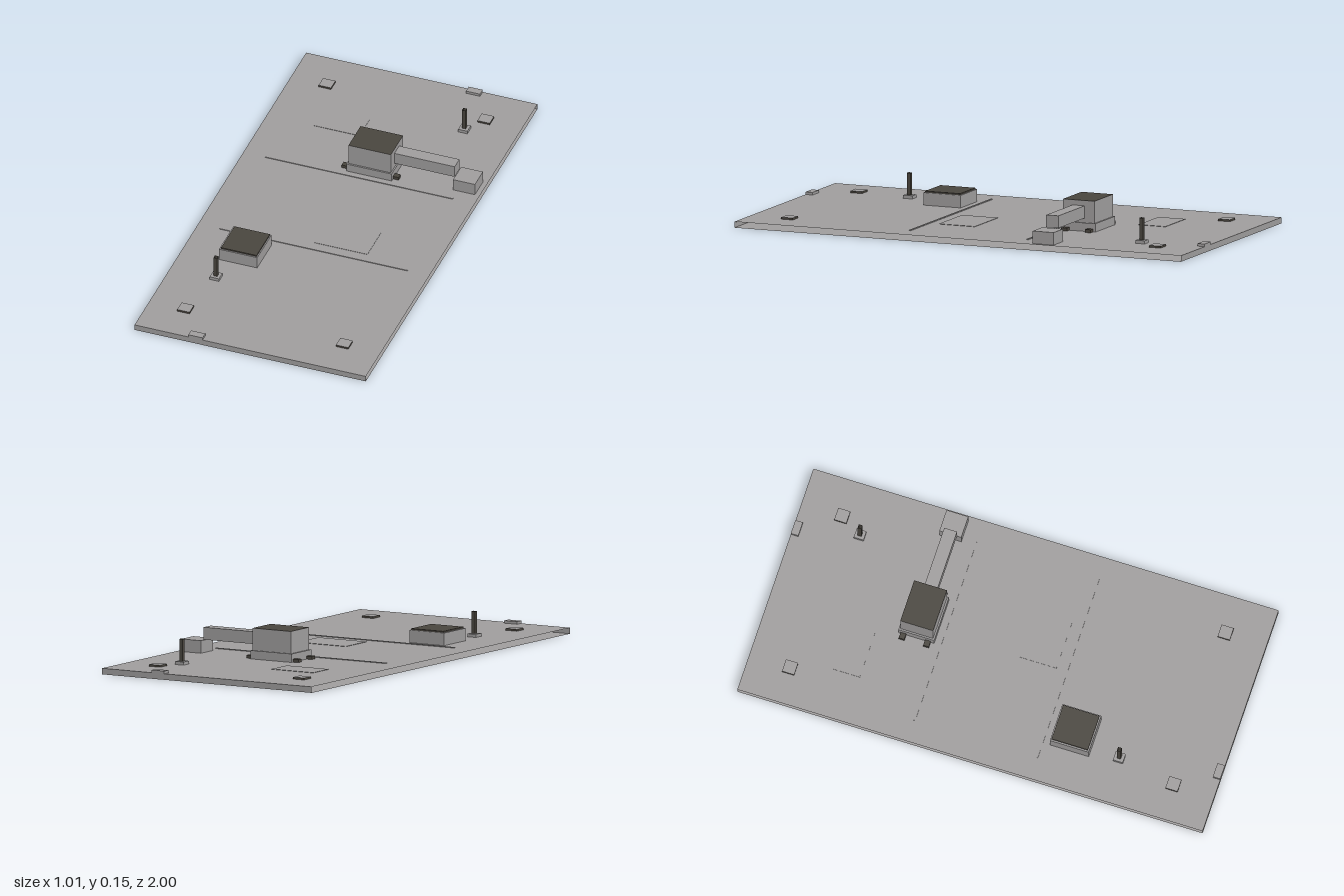
import * as THREE from 'three';

const grey = new THREE.MeshStandardMaterial({ color: 0xa09e9e, side: THREE.DoubleSide });
grey.name = 'concrete grey';
const dark = new THREE.MeshStandardMaterial({ color: 0x4a463f, side: THREE.DoubleSide });
dark.name = 'dark brown grey';

// box face order: +x, -x, +y, -y, +z, -z
const darkTop = [grey, grey, dark, grey, grey, grey];
const darkSides = [dark, dark, grey, grey, dark, dark];

const FLOOR = 0.025; // top of the base slab

export function createModel() {
  const root = new THREE.Group();
  root.name = 'model';

  // box given by its limits on each axis
  function box(name, [x0, x1], [y0, y1], [z0, z1], material = grey, parent = root) {
    const mesh = new THREE.Mesh(new THREE.BoxGeometry(x1 - x0, y1 - y0, z1 - z0), material);
    mesh.position.set((x0 + x1) / 2, (y0 + y1) / 2, (z0 + z1) / 2);
    mesh.name = name;
    parent.add(mesh);
    return mesh;
  }

  // base slab: a flat sleeve with its two long sides open
  const slab = new THREE.Group();
  slab.name = 'baseSlab';
  root.add(slab);
  function panel(name, height, y, z, rotX) {
    const mesh = new THREE.Mesh(new THREE.PlaneGeometry(1.01, height), grey);
    mesh.position.set(0, y, z);
    mesh.rotation.x = rotX;
    mesh.name = name;
    slab.add(mesh);
  }
  panel('slabTop', 2, FLOOR, 0, -Math.PI / 2);
  panel('slabBottom', 2, 0, 0, Math.PI / 2);
  panel('slabFront', FLOOR, FLOOR / 2, 1, 0);
  panel('slabBack', FLOOR, FLOOR / 2, -1, Math.PI);

  // low ridges across the slab
  for (const z of [-0.27, 0.257]) box('ridge', [-0.41, 0.41], [FLOOR, 0.028], [z - 0.004, z + 0.004]);

  // thin floor plates
  box('floorPlate', [-0.015, 0.217], [FLOOR, 0.0265], [0.052, 0.213]);
  box('floorPlate', [-0.3, -0.1], [FLOOR, 0.0265], [-0.66, -0.54]);

  // corner pads
  for (const x of [-0.348, 0.345])
    for (const z of [-0.824, 0.824])
      box('cornerPad', [x - 0.027, x + 0.027], [FLOOR, 0.033], [z - 0.026, z + 0.026], darkSides);

  // edge tabs at the front and the back
  box('frontTab', [-0.27, -0.208], [FLOOR, 0.036], [0.968, 1]);
  box('backTab', [0.205, 0.266], [FLOOR, 0.036], [-1, -0.968]);

  // posts: an open square tube on a small footing
  for (const [x, z] of [[-0.307, 0.578], [0.288, -0.729]]) {
    const post = new THREE.Group();
    post.name = 'post';
    root.add(post);
    box('postFooting', [x - 0.02, x + 0.02], [FLOOR, 0.038], [z - 0.021, z + 0.021], grey, post);
    const tube = new THREE.CylinderGeometry(0.0113, 0.0113, 0.092, 4, 1, true).rotateY(Math.PI / 4).toNonIndexed();
    tube.computeVertexNormals();
    const shaft = new THREE.Mesh(tube, dark);
    shaft.position.set(x, 0.084, z);
    shaft.name = 'postShaft';
    post.add(shaft);
  }

  // small building with a dark roof plate
  box('smallBuilding', [-0.34, -0.173], [FLOOR, 0.077], [0.29, 0.457]);
  box('smallBuildingRoof', [-0.333, -0.178], [0.077, 0.083], [0.295, 0.451], dark);

  // main building: plinth, body with dark roof, feet
  box('mainPlinth', [-0.066, 0.132], [FLOOR, 0.06], [-0.45, -0.296]);
  box('mainBody', [-0.059, 0.126], [0.06, 0.152], [-0.444, -0.303], darkTop);
  for (const x of [-0.079, 0.144])
    for (const z of [-0.428, -0.323])
      box('foot', [x - 0.013, x + 0.013], [FLOOR, 0.038], [z - 0.012, z + 0.012], dark);

  // raised duct and its end block
  box('duct', [0.126, 0.389], [0.079, 0.13], [-0.4, -0.345]);
  box('endBlock', [0.389, 0.484], [FLOOR, 0.077], [-0.421, -0.327]);

  return root;
}
